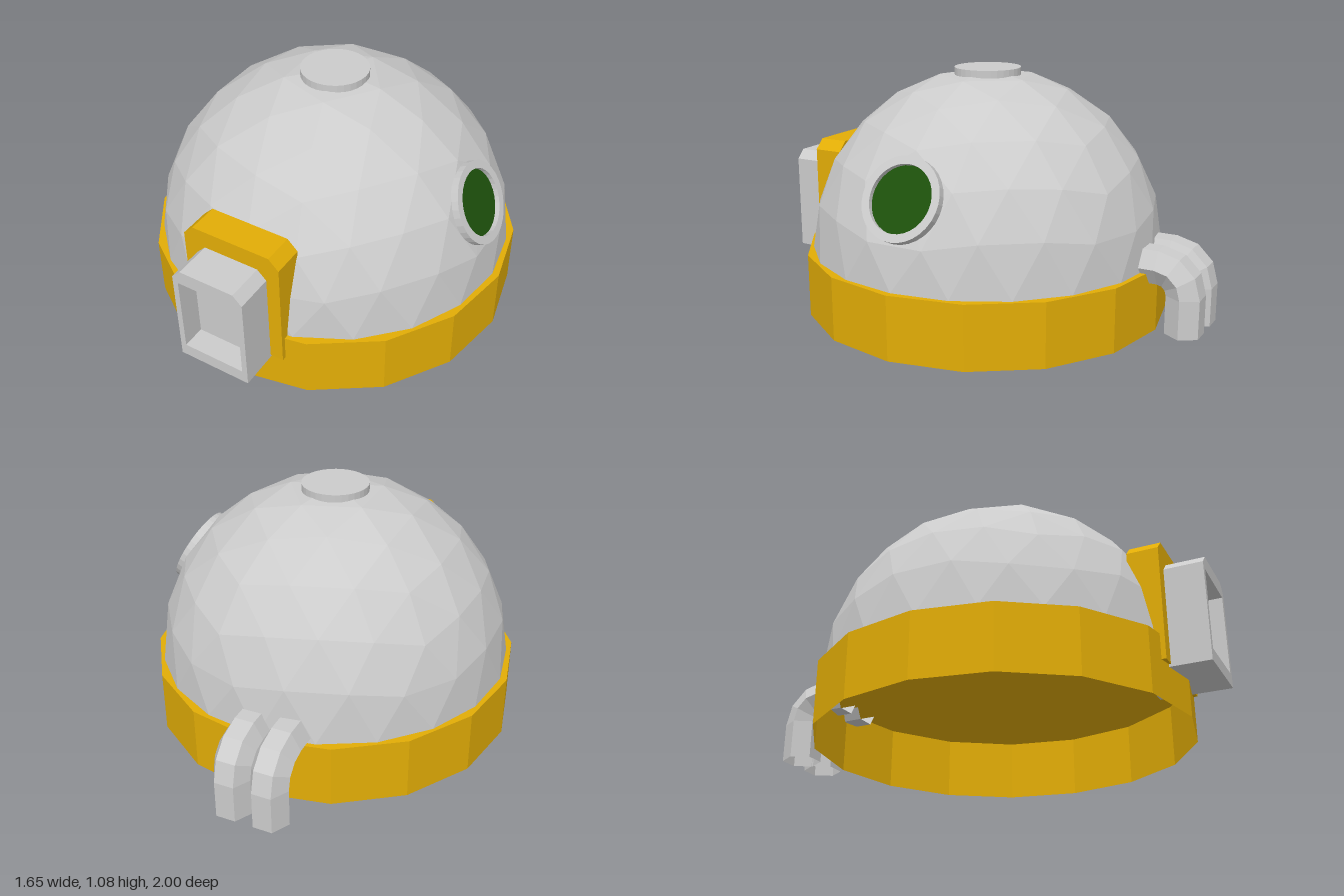
import * as THREE from 'three';

const material = (color, side = THREE.FrontSide) =>
  new THREE.MeshStandardMaterial({ color, side, flatShading: true });
const CZ = 0.035; // z of the dome axis
const BASE_H = 0.28, DOME_R = 0.795;

// Faceted dome: upper half of a recursively split icosahedron standing on a vertex
function domeGeometry() {
  const ringPoint = (k, y, turn) => {
    const a = (k + turn) * Math.PI * 2 / 5, r = Math.sqrt(1 - y * y);
    return new THREE.Vector3(Math.cos(a) * r, y, -Math.sin(a) * r);
  };
  const h = 1 / Math.sqrt(5);
  const top = new THREE.Vector3(0, 1, 0), windowPoint = ringPoint(0, h, 0);
  const positions = [];
  const split = (a, b, c, level) => {
    if (level > 0) {
      const mid = (p, q) => p.clone().add(q).normalize();
      const ab = mid(a, b), bc = mid(b, c), ca = mid(c, a);
      split(a, ab, ca, level - 1);
      split(ab, b, bc, level - 1);
      split(ca, bc, c, level - 1);
      split(ab, bc, ca, level - 1);
    } else if (a.y + b.y + c.y > 0.01) {
      for (const p of [a, b, c]) {
        // the corner behind the window is pushed in to clear the glass
        const r = p.distanceTo(windowPoint) < 0.05 ? DOME_R - 0.025 : DOME_R;
        positions.push(p.x * r, p.y * r, p.z * r);
      }
    }
  };
  for (let k = 0; k < 5; k++) {
    const u0 = ringPoint(k, h, 0), u1 = ringPoint(k + 1, h, 0);
    const l0 = ringPoint(k, -h, 0.5), l1 = ringPoint(k + 1, -h, 0.5);
    split(top, u0, u1, 2);
    split(u0, l0, u1, 2);
    split(u1, l0, l1, 2);
  }
  const geometry = new THREE.BufferGeometry();
  geometry.setAttribute('position', new THREE.Float32BufferAttribute(positions, 3));
  geometry.computeVertexNormals();
  return geometry;
}

// Upright panel outline with chamfered top corners
function panelShape(halfWidth, bottom, top, chamfer) {
  const s = new THREE.Shape();
  s.moveTo(-halfWidth, bottom);
  s.lineTo(halfWidth, bottom);
  s.lineTo(halfWidth, top - chamfer);
  s.lineTo(halfWidth - chamfer, top);
  s.lineTo(-halfWidth + chamfer, top);
  s.lineTo(-halfWidth, top - chamfer);
  s.closePath();
  return s;
}

const extrude = (shape, depth, curveSegments = 32) =>
  new THREE.ExtrudeGeometry(shape, { depth, bevelEnabled: false, curveSegments });

// Open hexagonal pipe: rises from the foot, bends and runs forward into the dome
function pipeGeometry() {
  const path = [[0.02, -0.925, 0]]; // y, z, lean
  for (let i = 0; i <= 3; i++) {
    const a = i * Math.PI / 6;
    path.push([0.19 + 0.115 * Math.sin(a), -0.81 - 0.115 * Math.cos(a), a]);
  }
  path.push([0.305, -0.7, Math.PI / 2]);
  const n = path.length - 1;
  const geometry = new THREE.CylinderGeometry(0.085, 0.085, 1, 6, n, true).rotateY(Math.PI / 6);
  const pos = geometry.attributes.position;
  for (let i = 0; i < pos.count; i++) {
    const [y, z, a] = path[Math.round((pos.getY(i) + 0.5) * n)];
    const d = pos.getZ(i);
    pos.setXYZ(i, pos.getX(i), y - d * Math.sin(a), z + d * Math.cos(a));
  }
  geometry.computeVertexNormals();
  return geometry;
}

export function createModel() {
  const model = new THREE.Group();
  const grey = material(0xcccccc), gold = material(0xe2ad06), green = material(0x1d510b);
  const openGrey = material(0xcccccc, THREE.DoubleSide);
  const openGold = material(0xe2ad06, THREE.DoubleSide);
  const add = (name, geometry, mat, x = 0, y = 0, z = 0, parent = model) => {
    const mesh = new THREE.Mesh(geometry, mat);
    mesh.name = name;
    mesh.position.set(x, y, z);
    parent.add(mesh);
    return mesh;
  };

  // Base: hollow from below, closed by a deck at the top
  add('baseWall', new THREE.CylinderGeometry(0.825, 0.825, BASE_H, 16, 1, true), openGold, 0, BASE_H / 2, CZ);
  const deck = new THREE.CircleGeometry(0.825, 16).rotateX(-Math.PI / 2);
  add('baseDeck', deck, openGold, 0, BASE_H, CZ);

  // Dome and roof cap
  add('dome', domeGeometry(), grey, 0, BASE_H, CZ);
  add('roofCap', new THREE.CylinderGeometry(0.148, 0.148, 0.06, 32), grey, 0, 1.053, CZ);

  // Entrance: surround, porch with a recess, and door
  add('doorSurround', extrude(panelShape(0.225, 0.17, 0.71, 0.045), 0.135), gold, 0, 0, 0.7);
  const porch = panelShape(0.165, 0.158, 0.63, 0.04);
  const opening = new THREE.Path();
  opening.moveTo(-0.14, 0.215);
  opening.lineTo(-0.14, 0.565);
  opening.lineTo(0.14, 0.565);
  opening.lineTo(0.14, 0.215);
  opening.closePath();
  porch.holes.push(opening);
  add('porch', extrude(porch, 0.31), grey, 0, 0, 0.69);
  add('door', new THREE.BoxGeometry(0.3, 0.37, 0.205), grey, 0, 0.39, 0.7975);

  // Round window on the left side, tilted with the dome
  const porthole = new THREE.Group();
  porthole.name = 'porthole';
  porthole.position.set(0, BASE_H, CZ);
  porthole.rotation.set(-0.482, Math.PI / 2, 0, 'YXZ');
  model.add(porthole);
  const rim = new THREE.Shape().absarc(0, 0, 0.178, 0, Math.PI * 2);
  rim.holes.push(new THREE.Path().absarc(0, 0, 0.143, 0, Math.PI * 2, true));
  add('portholeRim', extrude(rim, 0.05, 16), grey, 0, -0.004, 0.748, porthole);
  add('portholeGlass', new THREE.CircleGeometry(0.145, 32), green, 0, -0.004, 0.777, porthole);

  // Pair of pipes at the back
  for (const x of [-0.14, 0.025]) add('pipe', pipeGeometry(), openGrey, x);

  return model;
}
